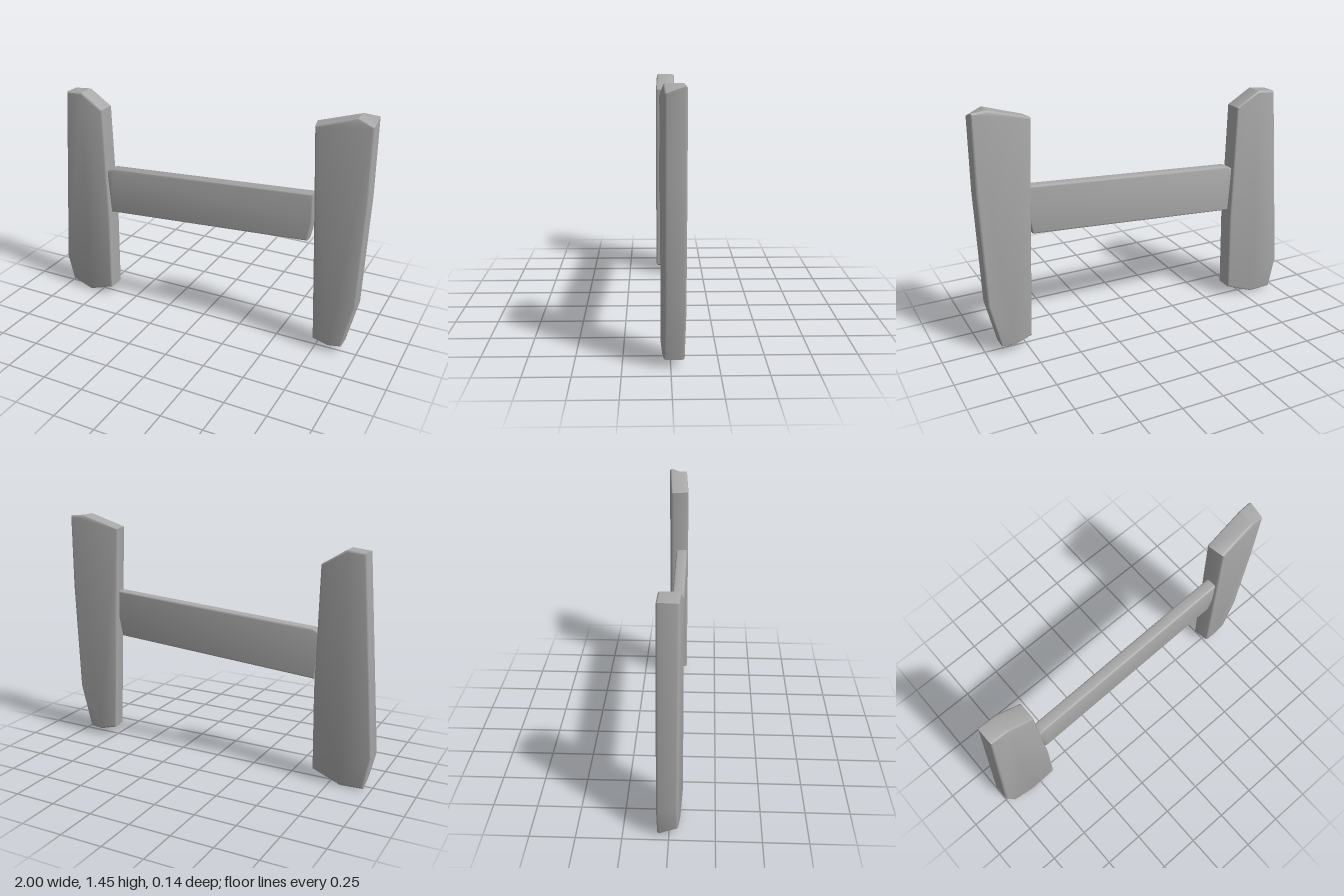
import * as THREE from 'three';
import { toCreasedNormals } from 'three/addons/utils/BufferGeometryUtils.js';

// Rounded slab cut from an outline (clockwise or not), centred on z = 0, then warped by a rule
function slab(name, outline, thickness, bevel, material, warp) {
  const shape = new THREE.Shape(outline.map(([x, y]) => new THREE.Vector2(x, y)));
  let geometry = new THREE.ExtrudeGeometry(shape, {
    depth: thickness - 2 * bevel, bevelEnabled: true, bevelSegments: 3,
    bevelSize: bevel, bevelThickness: bevel, bevelOffset: -bevel,
  });
  geometry.translate(0, 0, bevel - thickness / 2);
  const p = geometry.attributes.position;
  const v = new THREE.Vector3();
  for (let i = 0; i < p.count; i++) {
    warp(v.fromBufferAttribute(p, i));
    p.setXYZ(i, v.x, v.y, v.z);
  }
  geometry = toCreasedNormals(geometry, 0.6);
  const mesh = new THREE.Mesh(geometry, material);
  mesh.name = name;
  return mesh;
}

export function createModel() {
  const group = new THREE.Group();
  group.name = 'plankFrame';
  const grey = new THREE.MeshStandardMaterial({ color: 0xa8a8a8 });
  grey.name = 'plain grey';

  // Post on the model's right, turned slightly inwards, lower outer corner chipped at the front
  group.add(slab('rightPost', [
    [-1, 0.21], [-0.96, 0.015], [-0.82, 0.005], [-0.645, 0.07], [-0.637, 0.55],
    [-0.655, 1.28], [-0.80, 1.37], [-0.91, 1.36],
  ], 0.115, 0.012, grey, (v) => {
    if (v.z > 0 && v.x < -0.88 && v.y < 0.1) v.y += 0.035;
    v.z += 0.05 * (v.x + 0.82);
  }));

  // Post on the model's left, with a slanted inner side and a chipped upper corner
  group.add(slab('leftPost', [
    [0.735, 0.075], [0.84, 0.045], [0.915, 0.055], [0.98, 0.33], [1, 1],
    [0.998, 1.448], [0.91, 1.456], [0.675, 1.385], [0.705, 0.75],
  ], 0.11, 0.012, grey, (v) => {
    const inner = v.x < 0.8;
    if (v.z > 0 && v.x > 0.95 && v.y > 1.4) v.y -= 0.03;
    if (inner) v.x += 0.18 * v.z;
    v.z -= 0.075 * (v.x - 0.82) + 0.01;
  }));

  // Sloping crossbar set into both posts
  group.add(slab('crossbar', [
    [-0.632, 0.61], [0.675, 0.698], [0.70, 0.82], [0.695, 0.988],
    [-0.61, 0.905], [-0.652, 0.885],
  ], 0.07, 0.012, grey, (v) => { v.z += 0.012; }));

  return group;
}
